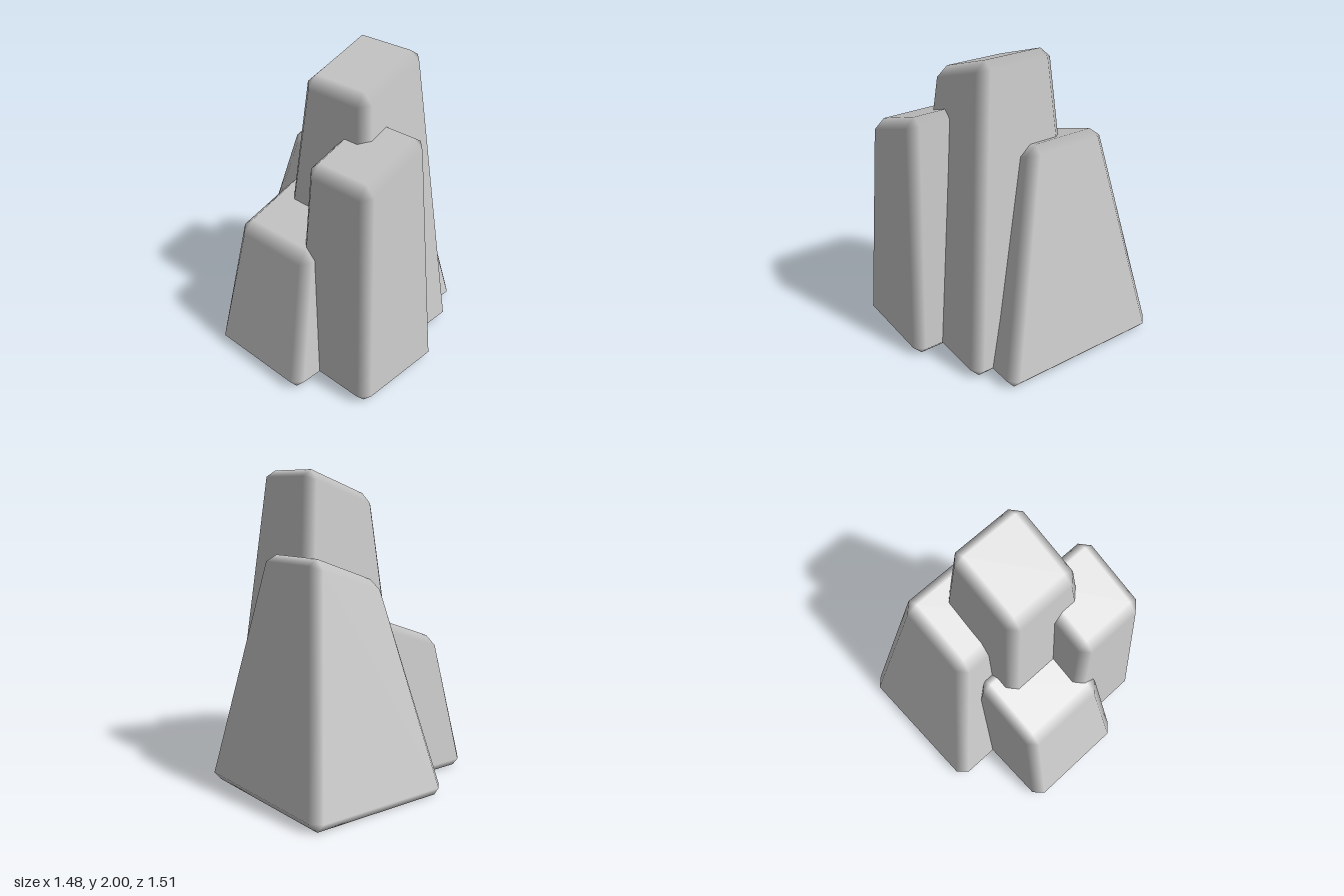
import * as THREE from 'three';

const BEVEL = 0.062;

// Tapered block with a slanted top; every edge gets one chamfer strip and
// normals follow the large faces, so the chamfers shade as soft rounding.
// base / top: [left x, right x, back z, front z]; yBack / yFront: top heights
function blockGeometry(base, top, yBack, yFront) {
  // corner index bits: 1 = right, 2 = top, 4 = front
  const corners = [];
  for (let c = 0; c < 8; c++) {
    const r = c & 2 ? top : base;
    const y = c & 2 ? (c & 4 ? yFront : yBack) : 0;
    corners.push(new THREE.Vector3(r[c & 1 ? 1 : 0], y, r[c & 4 ? 3 : 2]));
  }
  const centre = new THREE.Vector3();
  corners.forEach((c) => centre.addScaledVector(c, 1 / 8));

  // three points per corner, one lying on each adjoining face
  const points = [];
  corners.forEach((c, i) => {
    const dirs = [1, 2, 4].map((bit) => corners[i ^ bit].clone().sub(c).normalize());
    for (let axis = 0; axis < 3; axis++) {
      const p = c.clone();
      dirs.forEach((d, k) => { if (k !== axis) p.addScaledVector(d, BEVEL); });
      points.push(p);
    }
  });

  const index = [];
  const normals = [];
  const normalOf = (a, b, c) => points[b].clone().sub(points[a])
    .cross(points[c].clone().sub(points[a])).normalize();
  // adds a polygon, turned to face away from the centre
  const addPolygon = (ids) => {
    const out = points[ids[0]].clone().add(points[ids[1]]).add(points[ids[2]])
      .divideScalar(3).sub(centre);
    const list = normalOf(ids[0], ids[1], ids[2]).dot(out) < 0 ? [...ids].reverse() : ids;
    for (let k = 1; k < list.length - 1; k++) index.push(list[0], list[k], list[k + 1]);
    return list;
  };

  for (let axis = 0; axis < 3; axis++) {
    const bit = 1 << axis;
    const u = 1 << ((axis + 1) % 3);
    const v = 1 << ((axis + 2) % 3);
    // the two large faces across this axis
    for (const s of [0, bit]) {
      const ids = addPolygon([s, s | u, s | u | v, s | v].map((c) => c * 3 + axis));
      const n = points[ids[2]].clone().sub(points[ids[0]])
        .cross(points[ids[3]].clone().sub(points[ids[1]])).normalize();
      ids.forEach((id) => { normals[id] = n; });
    }
    // the four chamfer strips running along this axis
    const fu = (axis + 1) % 3;
    const fv = (axis + 2) % 3;
    for (const c of [0, u, v, u | v]) {
      const d = c | bit;
      addPolygon([c * 3 + fu, d * 3 + fu, d * 3 + fv, c * 3 + fv]);
    }
  }
  // small corner triangles
  for (let c = 0; c < 8; c++) addPolygon([c * 3, c * 3 + 1, c * 3 + 2]);

  const geometry = new THREE.BufferGeometry().setFromPoints(points);
  geometry.setAttribute('normal',
    new THREE.Float32BufferAttribute(normals.flatMap((n) => n.toArray()), 3));
  geometry.setIndex(index);
  return geometry;
}

export function createModel() {
  const group = new THREE.Group();
  group.name = 'rockColumns';
  const material = new THREE.MeshStandardMaterial({ color: 0xcccccc });

  const columns = [
    ['tallColumn', [-0.33, 0.555, -0.55, 0.35], [-0.155, 0.355, -0.35, 0.17], 2.02, 1.835],
    ['rightColumn', [0.08, 0.74, -0.145, 0.555], [0.16, 0.65, -0.05, 0.465], 1.65, 1.465],
    ['frontColumn', [-0.44, 0.35, -0.03, 0.765], [-0.355, 0.262, 0.06, 0.565], 1.08, 0.9],
    ['backLeftColumn', [-0.755, 0.435, -0.765, 0.27], [-0.425, 0.115, -0.51, 0.01], 1.505, 1.32],
  ];
  for (const [name, base, top, yBack, yFront] of columns) {
    const mesh = new THREE.Mesh(blockGeometry(base, top, yBack, yFront), material);
    mesh.name = name;
    group.add(mesh);
  }
  return group;
}
